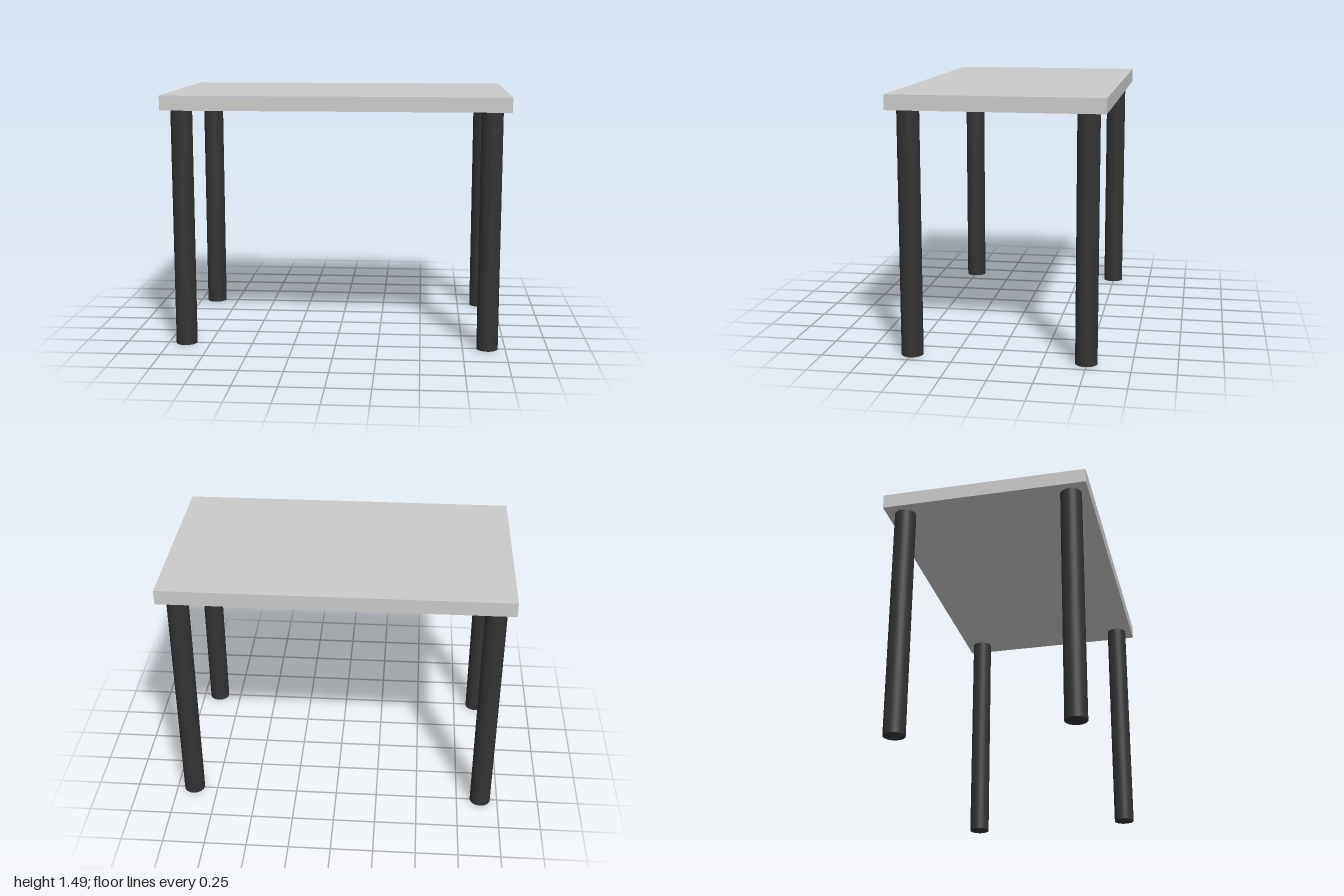
import * as THREE from 'three';

const LEG_HEIGHT = 1.4, LEG_RADIUS = 0.0625, TOP_THICKNESS = 0.085;

export function createModel() {
  const table = new THREE.Group();
  table.name = 'table';

  // Flat rectangular slab
  const top = new THREE.Mesh(
    new THREE.BoxGeometry(2, TOP_THICKNESS, 1.2),
    new THREE.MeshStandardMaterial({ color: 0xcccccc })
  );
  top.name = 'tabletop';
  top.position.y = LEG_HEIGHT + TOP_THICKNESS / 2;
  table.add(top);

  // Four round dark legs, one near each corner
  const legGeometry = new THREE.CylinderGeometry(LEG_RADIUS, LEG_RADIUS, LEG_HEIGHT, 32);
  const legMaterial = new THREE.MeshStandardMaterial({ color: 0x333333 });
  for (const [side, x] of [['Left', 0.895], ['Right', -0.895]]) {
    for (const [end, z] of [['front', 0.496], ['back', -0.496]]) {
      const leg = new THREE.Mesh(legGeometry, legMaterial);
      leg.name = `${end}${side}Leg`;
      leg.position.set(x, LEG_HEIGHT / 2, z);
      table.add(leg);
    }
  }
  return table;
}
